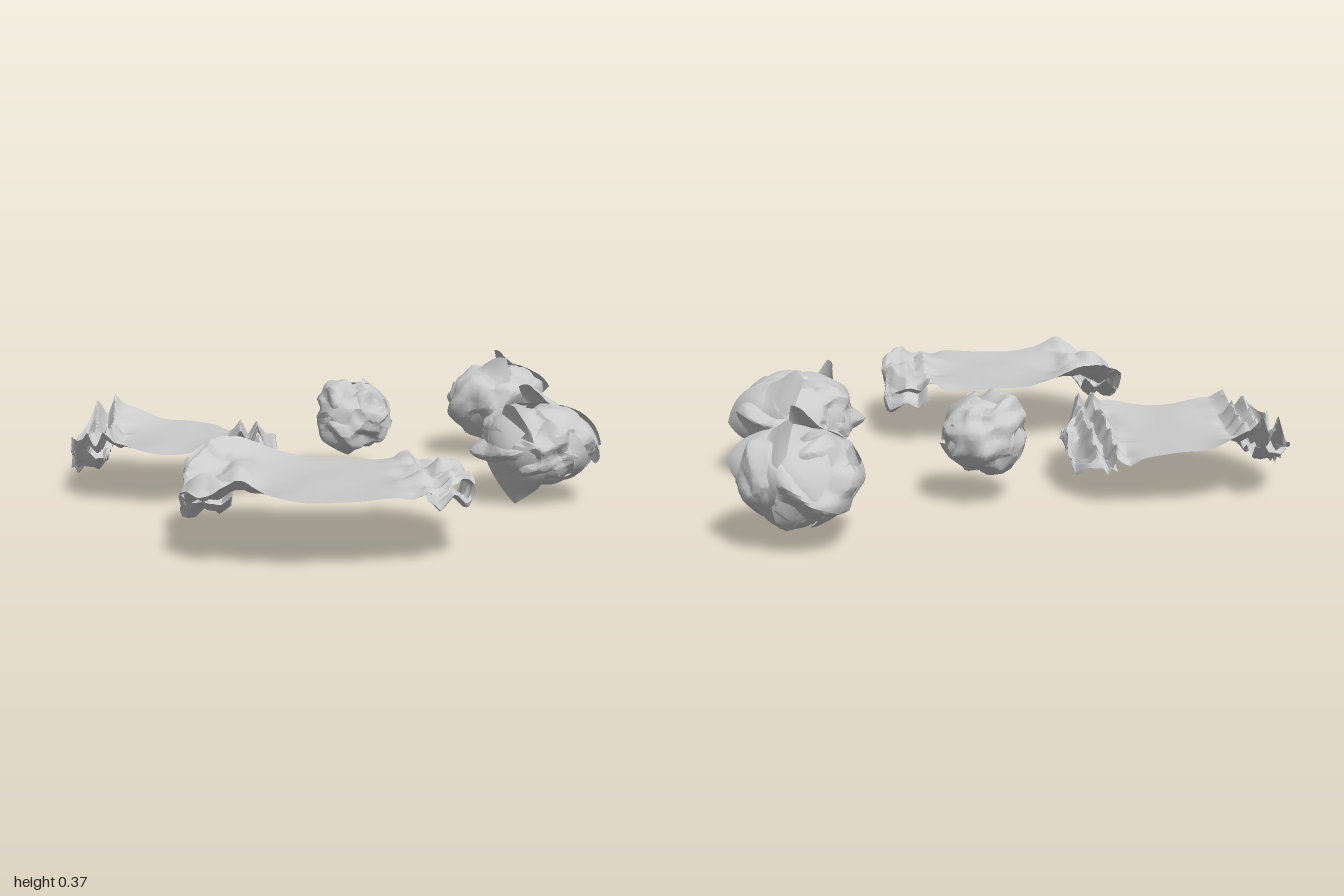
import * as THREE from 'three';
import { mergeVertices, toCreasedNormals } from 'three/addons/utils/BufferGeometryUtils.js';

const paper = new THREE.MeshStandardMaterial({ color: 0xcccccc, side: THREE.DoubleSide });

function seeded(seed) {
  let s = seed;
  return () => (s = (s * 16807) % 2147483647) / 2147483647;
}

// Triangle wave in -1..1: straight slopes meeting at sharp creases
const tri = (t) => 4 * Math.abs(t - Math.floor(t) - 0.5) - 1;

// Sum of triangle waves in random directions, like creased paper
function creaseField(rand, count, freq) {
  const waves = Array.from({ length: count }, () => ({
    d: randomDir(rand), f: freq * (0.6 + 0.9 * rand()), p: rand(),
  }));
  return (v) => waves.reduce((sum, w) => sum + tri(w.d.dot(v) * w.f + w.p), 0) / count;
}

function randomDir(rand) {
  const y = 2 * rand() - 1, a = rand() * Math.PI * 2, r = Math.sqrt(1 - y * y);
  return new THREE.Vector3(r * Math.cos(a), y, r * Math.sin(a));
}

// Grid surface from a function (u, v in 0..1) => Vector3
function surface(fn, nu, nv, name, angle = 0.45) {
  const g = new THREE.PlaneGeometry(1, 1, nu, nv);
  const p = g.attributes.position;
  for (let i = 0; i < p.count; i++) {
    const v = fn(p.getX(i) + 0.5, p.getY(i) + 0.5);
    p.setXYZ(i, v.x, v.y, v.z);
  }
  g.deleteAttribute('uv');
  g.deleteAttribute('normal');
  const mesh = new THREE.Mesh(toCreasedNormals(g, angle), paper);
  mesh.name = name;
  return mesh;
}

// Folded corner of paper from the direction of pivot to a tip, both relative to the ball centre
function flap(pivot, tip, width, size, field, name) {
  const a = pivot.clone().normalize(), b = tip.clone().normalize();
  const side = new THREE.Vector3().crossVectors(a, b).normalize();
  const tipR = tip.length();
  return surface((u, v) => {
    const s = 2 * u - 1;
    const spread = width * (1 - 0.4 * v * v);
    const dir = a.clone().lerp(b, v - 0.2 * v * Math.abs(s)).addScaledVector(side, s * spread).normalize();
    const base = dir.clone().multiply(size).multiplyScalar(0.92).length();
    const r = THREE.MathUtils.lerp(base, tipR, v * v * (1 - 0.6 * Math.abs(s)));
    return dir.multiplyScalar(r * (1 + 0.07 * field(dir) * (1 - v)));
  }, 12, 14, name);
}

// Crumpled ball: flat facets, creases, wrapped layers and loose corners
function paperBall(name, centre, size, seed, corners) {
  const group = new THREE.Group();
  group.name = name;
  group.position.set(...centre);
  const rand = seeded(seed), dims = new THREE.Vector3(...size);
  const coarse = creaseField(rand, 3, 0.9), fine = creaseField(rand, 4, 1.6);
  const planes = Array.from({ length: 22 }, () => ({ n: randomDir(rand), c: 0.86 + 0.12 * rand() }));

  let g = new THREE.IcosahedronGeometry(1, 22);
  g.deleteAttribute('uv');
  g.deleteAttribute('normal');
  g = mergeVertices(g, 1e-4);
  const p = g.attributes.position, d = new THREE.Vector3();
  for (let i = 0; i < p.count; i++) {
    d.fromBufferAttribute(p, i).normalize();
    let r = 1.03;
    for (const { n, c } of planes) {
      const k = n.dot(d);
      if (k > 0.3) r = Math.min(r, c / k);
    }
    // Crevice winding across the top
    const gap = Math.abs(d.x + 0.18 * tri(d.z * 0.9 + 0.2));
    const crevice = d.y > 0 ? 0.3 * d.y * Math.max(0, 1 - gap / 0.3) : 0;
    r += 0.08 * coarse(d) + 0.12 * fine(d) - crevice;
    p.setXYZ(i, d.x * r * dims.x, d.y * r * dims.y, d.z * r * dims.z);
  }
  const body = new THREE.Mesh(toCreasedNormals(g, 0.4), paper);
  body.name = 'crumpledBody';
  group.add(body);

  // Layers wrapped close around the ball
  for (let i = 0; i < 18; i++) {
    const a = randomDir(rand);
    const b = a.clone().addScaledVector(randomDir(rand), 0.9).normalize();
    const tip = b.multiply(dims).multiplyScalar(1 + 0.08 * rand());
    group.add(flap(a, tip, 0.4 + 0.2 * rand(), dims, fine, 'wrappedLayer'));
  }
  // Loose corners, given as pivot direction and tip position
  for (const [pivot, tip] of corners) {
    const t = new THREE.Vector3(...tip).sub(group.position);
    group.add(flap(new THREE.Vector3(...pivot), t, 0.65, dims, fine, 'looseCorner'));
  }
  return group;
}

// Half cross-section of a sheet: fraction of half width, height (-1..1)
const section = [
  [0, 0], [0.2, 0], [0.38, 0.03], [0.52, 0.1], [0.64, 0.36], [0.72, 0.1],
  [0.81, 0.32], [0.91, 0], [1, -0.3], [0.95, -0.75], [0.83, -0.4], [0.72, -0.6], [0.64, -0.3],
];

function sample(t) {
  const f = t * (section.length - 1), i = Math.min(Math.floor(f), section.length - 2);
  const k = f - i, a = section[i], b = section[i + 1];
  return [a[0] + (b[0] - a[0]) * k, a[1] + (b[1] - a[1]) * k];
}

// Sheet with crumpled ends: the left part sags like a trough, the right end lifts at the front
function crumpledSheet(name, [cx, cy, cz], [hw, hh, hd], [backPower, frontPower], sag, seed) {
  const rand = seeded(seed);
  const folds = creaseField(rand, 4, 2.4), small = creaseField(rand, 5, 4.5);
  const q = new THREE.Vector3();
  const mesh = surface((u, v) => {
    const s = 2 * u - 1, w = 2 * v - 1, sign = Math.sign(s);
    // Fold lines slant and wander along the depth
    q.set(sign * 0.6, w * 0.6, sign + w * 0.3);
    const t = Math.abs(s) * (1 + 0.16 * folds(q) * Math.sin(Math.PI * Math.abs(s)));
    const [fx, fy] = sample(THREE.MathUtils.clamp(t, 0, 1));
    const side = THREE.MathUtils.smoothstep(fx, 0.35, 0.75);
    const power = w < 0 ? backPower : frontPower;
    const half = Math.pow(1 - Math.pow(Math.min(fx, 0.96), power), 1 / power);
    q.set(sign * fx * 0.5 + 0.3, fy * 0.25, w * 0.5);
    const n = folds(q), m = small(q);
    const reach = THREE.MathUtils.smoothstep(fx, 0.05, 0.6);
    const bend = sign < 0 ? sag * (1.4 * w * w - 0.55) - 0.12 * w : 0.2 * w;
    const lift = fy * (0.95 + 0.5 * n) + side * (0.55 * n + 0.4 * m) + 0.06 * n + reach * bend;
    return new THREE.Vector3(
      sign * fx * hw * (1 - 0.05 * side * (0.5 + 0.5 * m)),
      hh * THREE.MathUtils.clamp(lift, -1.15, 0.9),
      w * half * hd * (1 + 0.05 * side * m),
    );
  }, 120, 60, name, 0.5);
  mesh.position.set(cx, cy, cz);
  return mesh;
}

export function createModel() {
  const model = new THREE.Group();
  model.name = 'crumpledPapers';
  model.add(
    crumpledSheet('backSheet', [-0.535, 0.175, -0.225], [0.35, 0.125, 0.335], [3, 2.2], 0.42, 71),
    crumpledSheet('frontSheet', [-0.065, 0.195, 0.65], [0.43, 0.09, 0.345], [4, 2.8], 0.5, 523),
    paperBall('smallBall', [0.075, 0.21, -0.41], [0.135, 0.128, 0.135], 911, []),
    paperBall('backBall', [0.63, 0.195, -0.81], [0.18, 0.15, 0.185], 2027, [
      [[0.3, 0.6, -0.7], [0.83, 0.25, -0.82]],
      [[0.8, 0.3, 0.2], [0.77, 0.2, -0.67]],
      [[-0.3, 0.6, 0.6], [0.65, 0.37, -0.7]],
      [[0.6, 0.5, -0.4], [0.64, 0.37, -0.94]],
      [[0.3, -0.5, 0.5], [0.6, 0.045, -0.79]],
    ]),
    paperBall('frontBall', [0.65, 0.185, 0.005], [0.195, 0.122, 0.22], 4409, [
      [[0.4, 0.5, -0.8], [0.87, 0.17, -0.02]],
      [[0.8, 0.3, 0.1], [0.82, 0.19, 0.2]],
      [[-0.5, 0.2, 0.8], [0.57, 0.0, 0.1]],
      [[-0.5, 0.3, 0.6], [0.55, 0.33, 0.19]],
      [[0.5, 0.4, -0.5], [0.62, 0.34, -0.19]],
    ]),
  );
  return model;
}
